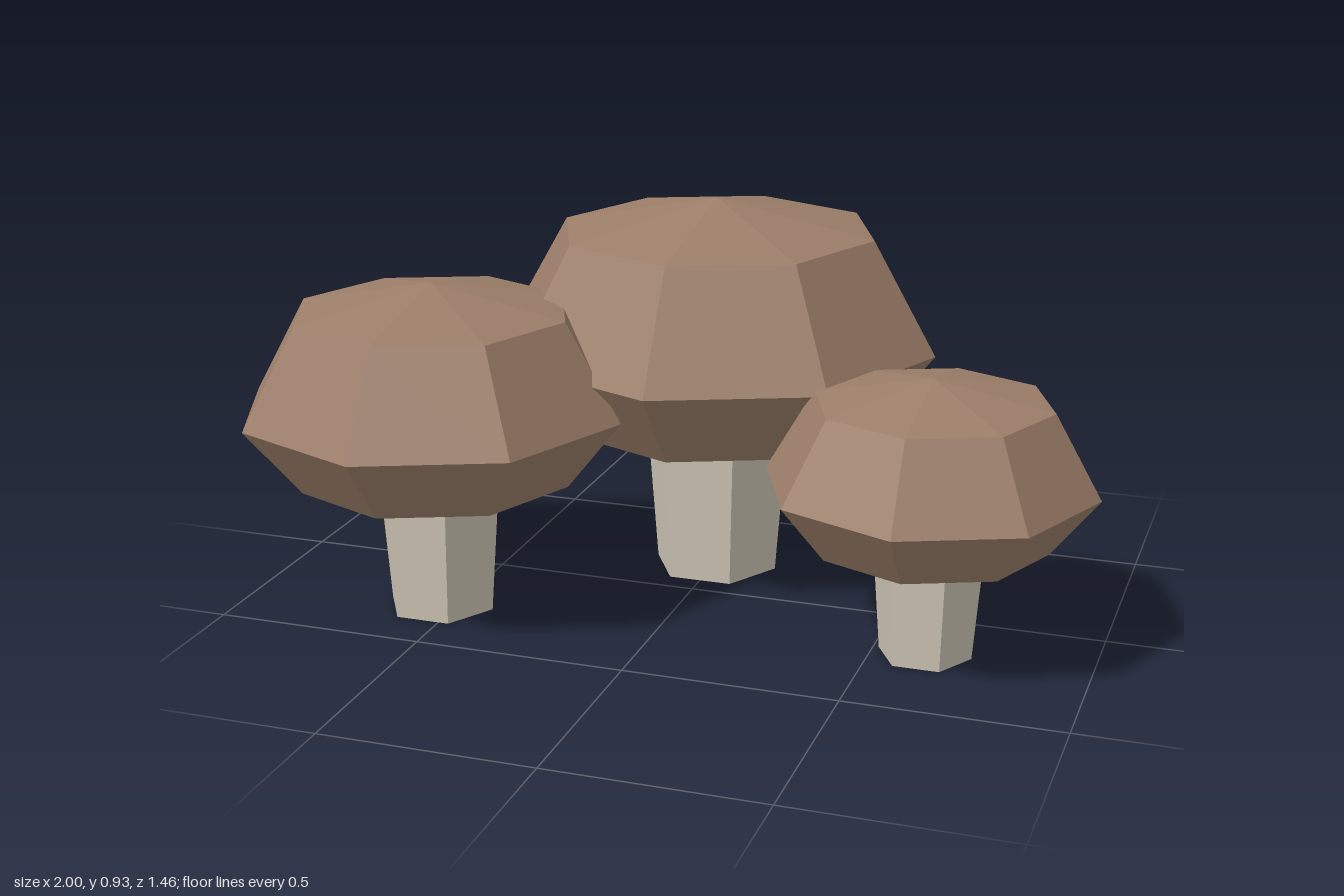
import * as THREE from 'three';

export function createModel() {
  const group = new THREE.Group();
  group.name = 'mushroomCluster';

  const capBrown = new THREE.MeshStandardMaterial({ color: 0x9c7e69, flatShading: true });
  capBrown.name = 'capBrown';
  const stemCream = new THREE.MeshStandardMaterial({ color: 0xccc4b4, flatShading: true });
  stemCream.name = 'stemCream';

  // Eight-sided cap: flat underside, flared rim, shallow pointed top
  const capProfile = [
    [0, 0.39], [0.386, 0.39], [0.54, 0.584], [0.386, 0.853], [0, 0.93],
  ].map(([r, y]) => new THREE.Vector2(r, y));
  const capGeometry = new THREE.LatheGeometry(capProfile, 8);

  // Six-sided stem, widening upwards into the cap, with corners on the x axis
  const stemGeometry = new THREE.CylinderGeometry(0.19, 0.153, 0.48, 6);
  stemGeometry.rotateY(Math.PI / 6);
  stemGeometry.translate(0, 0.24, 0);

  function addMushroom(name, x, z, scale) {
    const mushroom = new THREE.Group();
    mushroom.name = name;
    const cap = new THREE.Mesh(capGeometry, capBrown);
    cap.name = 'cap';
    const stem = new THREE.Mesh(stemGeometry, stemCream);
    stem.name = 'stem';
    mushroom.add(cap, stem);
    mushroom.position.set(x, 0, z);
    mushroom.scale.setScalar(scale);
    group.add(mushroom);
  }

  addMushroom('largeMushroom', 0, -0.19, 1);
  addMushroom('mediumMushroom', -0.54, 0.27, 0.85);
  addMushroom('smallMushroom', 0.62, 0.194, 0.7);

  return group;
}
